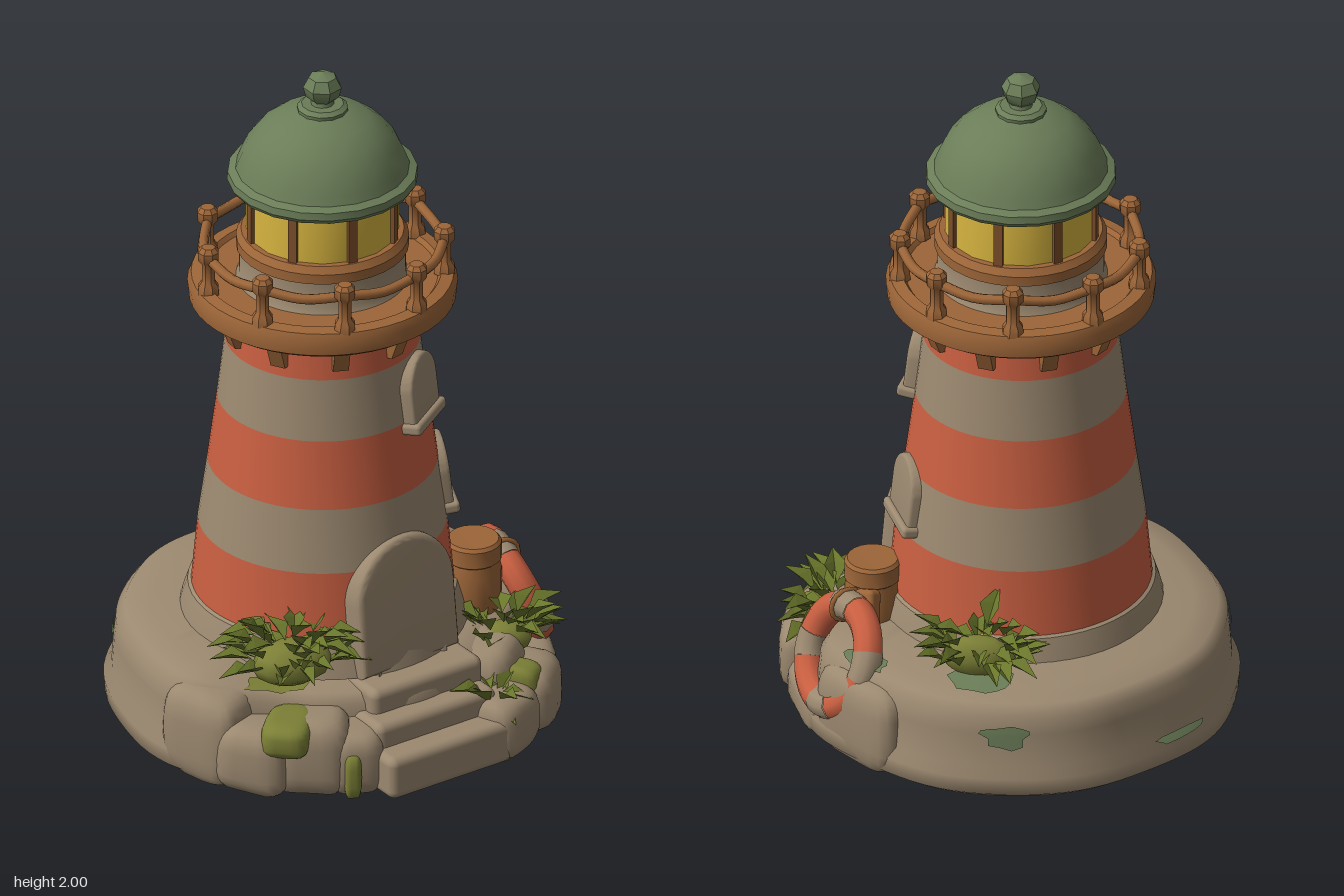
import * as THREE from 'three';
import { mergeGeometries, mergeVertices, toCreasedNormals } from 'three/addons/utils/BufferGeometryUtils.js';
import { RoundedBoxGeometry } from 'three/addons/geometries/RoundedBoxGeometry.js';

const material = (name, color, side = THREE.FrontSide) => {
  const m = new THREE.MeshStandardMaterial({ color, side });
  m.name = name;
  return m;
};
const stone = material('stone', 0x9c8970);
const red = material('coral red', 0xc95f41);
const green = material('sage green', 0x6b7d58, THREE.DoubleSide);
const wood = material('wood', 0x9c6538);
const darkWood = material('dark wood', 0x7c4e2a);
const glass = material('warm glass', 0xd9b640);
const leaf = material('leaf', 0x69762b, THREE.DoubleSide);
const moss = material('moss', 0x7c8036, THREE.DoubleSide);

let seed = 7;
const rand = (a = 0, b = 1) => {
  seed = (seed * 16807) % 2147483647;
  return a + (b - a) * (seed / 2147483647);
};

function add(parent, name, geo, mat, x = 0, y = 0, z = 0, ry = 0) {
  const mesh = new THREE.Mesh(geo, mat);
  mesh.name = name;
  mesh.position.set(x, y, z);
  mesh.rotation.y = ry;
  parent.add(mesh);
  return mesh;
}
const lathe = (pts, n = 48) =>
  toCreasedNormals(new THREE.LatheGeometry(pts.map(p => new THREE.Vector2(p[0], p[1])), n), 0.6);

function reshape(geo, rule) {
  const p = geo.attributes.position, v = new THREE.Vector3();
  for (let i = 0; i < p.count; i++) {
    rule(v.fromBufferAttribute(p, i));
    p.setXYZ(i, v.x, v.y, v.z);
  }
  geo.deleteAttribute('uv');
  geo.deleteAttribute('normal');
  const out = mergeVertices(geo, 1e-4);
  out.computeVertexNormals();
  return out;
}

// Rock base: turned profile, wavy rim, cut back at the front where boulders sit
const basePts = [[0, 0], [0.6, 0], [0.628, 0.02], [0.632, 0.07], [0.61, 0.1], [0.603, 0.2],
  [0.597, 0.25], [0.572, 0.283], [0.5, 0.293], [0.38, 0.31], [0, 0.31]];
function baseRule(v) {
  const a = Math.atan2(v.x, v.z);
  const front = THREE.MathUtils.smoothstep(Math.cos(a - 0.2), 0.2, 0.75);
  let k = 1 + 0.008 * Math.sin(5 * a + 1) + 0.006 * Math.sin(9 * a);
  k -= front * (v.y > 0.08 ? 0.2 : 0.06);
  v.x *= k;
  v.z *= k;
  v.y *= 1 - 0.12 * front;
}
// Thin patch lying on the base; a = angle, s = position along the profile
function basePatch(parent, mat, a, s, da, ds) {
  const pos = [], idx = [], n = 14, rings = 4;
  const edge = Array.from({ length: n }, () => rand(0.65, 1.1));
  for (let r = 0; r <= rings; r++) for (let i = 0; i < n; i++) {
    const f = edge[i] * r / rings, t = i / n * Math.PI * 2;
    const ang = a + da * f * Math.cos(t), q = s + ds * f * Math.sin(t);
    const k = Math.floor(q), p0 = basePts[k], p1 = basePts[k + 1];
    const rad = THREE.MathUtils.lerp(p0[0], p1[0], q - k) + 0.005;
    const v = new THREE.Vector3(rad * Math.sin(ang), THREE.MathUtils.lerp(p0[1], p1[1], q - k) + 0.004, rad * Math.cos(ang));
    baseRule(v);
    pos.push(v.x, v.y, v.z);
    if (r) {
      const j = (i + 1) % n, o = (r - 1) * n;
      idx.push(o + i, o + n + i, o + n + j, o + i, o + n + j, o + j);
    }
  }
  const g = new THREE.BufferGeometry();
  g.setAttribute('position', new THREE.Float32BufferAttribute(pos, 3));
  g.setIndex(idx);
  g.computeVertexNormals();
  add(parent, 'mossPatch', g, mat);
}
// Rounded, boxy boulder standing on the ground
function boulder(parent, x, z, hx, h, hz, mat = stone, name = 'boulder', y0 = 0) {
  const ph = rand(0, 6), box = c => Math.sign(c) * Math.abs(c) ** 0.62;
  const g = reshape(new THREE.SphereGeometry(1, 22, 16), v => {
    const k = 1 + 0.05 * Math.sin(4 * v.x + ph) * Math.cos(3 * v.z + 2 * v.y + ph);
    v.set(box(v.x) * hx * k, Math.max(0, h * 0.45 + box(v.y) * h * 0.55 * k), box(v.z) * hz * k);
  });
  add(parent, name, g, mat, x, y0, z, Math.atan2(x, z));
}

// Bush of folded pointed leaves spreading from a centre
function bush(parent, x, y, z, sx, sy, sz, count, ry = 0) {
  const parts = [];
  for (let i = 0; i < count; i++) {
    const g = new THREE.BufferGeometry(), l = rand(0.08, 0.125), w = rand(0.022, 0.034);
    g.setAttribute('position', new THREE.Float32BufferAttribute([
      0, 0, 0, -w, 0.02, l * 0.5, 0, -0.008, l * 0.6, 0, 0, 0, 0, -0.008, l * 0.6, w, 0.02, l * 0.5,
      -w, 0.02, l * 0.5, 0, -0.02, l, 0, -0.008, l * 0.6, 0, -0.008, l * 0.6, 0, -0.02, l, w, 0.02, l * 0.5], 3));
    const a = rand(0, Math.PI * 2), d = Math.sqrt(rand(0, 1)) * 0.8;
    g.rotateX(-rand(0.0, 1.1)).rotateY(a);
    g.translate(Math.sin(a) * d * sx, rand(-0.3, 0.55) * sy, Math.cos(a) * d * sz);
    parts.push(g);
  }
  const g = mergeGeometries(parts);
  g.computeVertexNormals();
  add(parent, 'bushLeaves', g, leaf, x, y, z, ry);
  const core = new THREE.SphereGeometry(1, 10, 6).scale(sx * 0.75, sy * 0.5, sz * 0.75);
  add(parent, 'bushCore', core, moss, x, y - 0.02, z, ry);
}

function arch(w, h, T = THREE.Shape) {
  const s = new T();
  s.moveTo(-w / 2, 0);
  s.lineTo(w / 2, 0);
  s.lineTo(w / 2, h - w / 2);
  s.absarc(0, h - w / 2, w / 2, 0, Math.PI, false);
  s.lineTo(-w / 2, 0);
  return s;
}
const extrude = (shape, depth, z, bevel = 0) => toCreasedNormals(new THREE.ExtrudeGeometry(shape, {
  depth, curveSegments: 14, bevelEnabled: bevel > 0, bevelSize: bevel, bevelThickness: bevel, bevelSegments: 3, bevelOffset: -bevel,
}).translate(0, 0, z), 0.7);
function archFrame(w, h, t) {
  const s = arch(w + 2 * t, h + t);
  s.holes.push(arch(w, h, THREE.Path));
  return s;
}
const towerR = y => 0.372 - 0.112 * (y - 0.3);
// Group tangent to the sloping tower wall
function onWall(tower, name, a, y) {
  const g = new THREE.Group();
  g.name = name;
  g.rotation.set(-0.11, a, 0, 'YXZ');
  g.position.set(Math.sin(a) * towerR(y), y, Math.cos(a) * towerR(y));
  tower.add(g);
  return g;
}

export function createModel() {
  const model = new THREE.Group();
  model.name = 'lighthouse';

  // Rock base, boulders and steps
  const rocks = new THREE.Group();
  rocks.name = 'rocks';
  model.add(rocks);
  add(rocks, 'rockBase', reshape(new THREE.LatheGeometry(basePts.map(p => new THREE.Vector2(...p)), 96), baseRule), stone);
  for (const b of [[-0.47, 0.27, 0.13, 0.27, 0.1], [-0.38, 0.4, 0.11, 0.2, 0.1], [-0.24, 0.46, 0.11, 0.23, 0.1],
    [-0.13, 0.5, 0.08, 0.19, 0.1], [0.33, 0.46, 0.1, 0.18, 0.1], [0.46, 0.34, 0.12, 0.19, 0.1],
    [0.36, 0.3, 0.12, 0.26, 0.1], [0.54, 0.13, 0.14, 0.13, 0.09], [0.53, -0.12, 0.16, 0.27, 0.09]]) boulder(rocks, ...b);
  [[0.09, 0.46, 0.42, 0.13, 0.32], [0.085, 0.41, 0.41, 0.2, 0.26], [0.09, 0.36, 0.38, 0.27, 0.22]].forEach(([x, z, w, h, d]) =>
    add(rocks, 'step', new RoundedBoxGeometry(w, h, d, 3, 0.025), stone, x, h / 2, z, 0.22));

  // Moss on the rocks
  for (const p of [[2.6, 5, 0.13, 0.5], [3.5, 3.6, 0.16, 0.4], [4.3, 5.2, 0.1, 0.5], [1.75, 7.4, 0.16, 0.6], [2.45, 8.2, 0.2, 0.7]])
    basePatch(rocks, green, ...p);
  for (const p of [[-0.72, 7.5, 0.22, 0.8], [-0.95, 5.6, 0.1, 0.8]]) basePatch(rocks, moss, ...p);
  for (const [x, z, hx, h, hz, y] of [[-0.31, 0.46, 0.07, 0.1, 0.1, 0.13], [-0.16, 0.56, 0.025, 0.14, 0.05, 0],
    [0.3, 0.54, 0.02, 0.14, 0.03, 0], [0.41, 0.38, 0.05, 0.1, 0.08, 0.11]]) boulder(rocks, x, z, hx, h, hz, moss, 'mossClump', y);

  // Bushes
  bush(model, -0.26, 0.36, 0.36, 0.16, 0.13, 0.11, 56);
  bush(model, 0.43, 0.24, 0.26, 0.11, 0.1, 0.08, 34);
  bush(model, 0.29, 0.37, -0.32, 0.14, 0.13, 0.06, 34, -0.6);
  bush(model, 0.31, 0.15, 0.48, 0.03, 0.06, 0.04, 9);

  // Striped tower
  const tower = new THREE.Group();
  tower.name = 'tower';
  tower.position.x = -0.017;
  model.add(tower);
  const levels = [[0.37, 0.38], [0.352, 0.58], [0.325, 0.77], [0.298, 0.975], [0.276, 1.16], [0.266, 1.3]];
  for (let i = 0; i < 5; i++)
    add(tower, i % 2 ? 'stoneStripe' : 'redStripe', lathe([levels[i], levels[i + 1]], 64), i % 2 ? stone : red);
  add(tower, 'plinth', lathe([[0.41, 0.27], [0.395, 0.33], [0.38, 0.375], [0.36, 0.385]]), stone);

  // Arched door
  const door = onWall(tower, 'door', 0.29, 0.27);
  add(door, 'doorFrame', extrude(archFrame(0.21, 0.32, 0.07), 0.07, -0.06, 0.018), stone);
  add(door, 'doorPanel', extrude(arch(0.22, 0.325), 0.03, -0.022), green);
  for (const [x, y, w] of [[-0.06, 0.21, 0.08], [-0.07, 0.09, 0.05], [0.055, 0.05, 0.06]])
    add(door, 'doorScratch', new THREE.BoxGeometry(w, 0.012, 0.006), stone, x, y, 0.009);
  const handle = add(door, 'doorHandle', new THREE.TorusGeometry(0.016, 0.006, 6, 12), darkWood, 0.06, 0.14, 0.017);
  handle.scale.y = 1.4;

  // Arched windows
  for (const [a, y] of [[0.79, 0.955], [1.37, 0.605]]) {
    const win = onWall(tower, 'window', a, y);
    add(win, 'windowFrame', extrude(archFrame(0.1, 0.16, 0.04), 0.05, -0.035, 0.01), stone);
    add(win, 'windowSill', new RoundedBoxGeometry(0.2, 0.035, 0.07, 3, 0.012), stone, 0, 0.003, 0.005);
    add(win, 'windowPane', extrude(arch(0.104, 0.163), 0.02, -0.012), glass);
    add(win, 'windowBar', new THREE.BoxGeometry(0.013, 0.15, 0.009), darkWood, 0, 0.08, 0.012);
    add(win, 'windowBar', new THREE.BoxGeometry(0.1, 0.013, 0.009), darkWood, 0, 0.085, 0.012);
    add(win, 'windowTrim', extrude(archFrame(0.084, 0.15, 0.009), 0.008, 0.008), darkWood);
  }

  // Balcony with brackets and railing
  add(tower, 'balconyFloor', lathe([[0.25, 1.285], [0.355, 1.28], [0.377, 1.295], [0.381, 1.335], [0.37, 1.36],
    [0.335, 1.365], [0.325, 1.352], [0.2, 1.352]]), wood);
  const bracket = new THREE.Shape([[0.24, 1.19], [0.29, 1.195], [0.325, 1.285], [0.24, 1.285]].map(p => new THREE.Vector2(...p)));
  for (let i = 0; i < 10; i++)
    add(tower, 'bracket', extrude(bracket, 0.045, -0.0225), wood, 0, 0, 0, i * Math.PI / 5 + 0.1);
  const postGeo = lathe([[0.032, 0], [0.03, 0.025], [0.02, 0.04], [0.02, 0.095], [0.031, 0.11], [0.031, 0.135], [0.02, 0.148], [0, 0.15]], 8);
  for (let i = 0; i < 9; i++) {
    const a = (188 + i * 40) * Math.PI / 180;
    add(tower, 'railPost', postGeo, wood, Math.sin(a) * 0.343, 1.355, Math.cos(a) * 0.343);
    const p = (t, r, y) => new THREE.Vector3(Math.sin(a + t * 0.698) * r, y, Math.cos(a + t * 0.698) * r);
    const curve = new THREE.CatmullRomCurve3([p(0, 0.343, 1.465), p(0.5, 0.335, 1.452), p(1, 0.343, 1.465)]);
    add(tower, 'handRail', new THREE.TubeGeometry(curve, 8, 0.015, 7), wood);
  }

  // Lantern room
  add(tower, 'lanternBase', lathe([[0.245, 1.35], [0.235, 1.37], [0.235, 1.45]]), stone);
  add(tower, 'lanternSill', lathe([[0.23, 1.445], [0.244, 1.45], [0.244, 1.48], [0.23, 1.5], [0.19, 1.5]], 32), wood);
  add(tower, 'lanternGlass', toCreasedNormals(new THREE.CylinderGeometry(0.215, 0.215, 0.18, 16), 0.6), glass, 0, 1.58);
  for (let i = 0; i < 8; i++) {
    const a = i * Math.PI / 4;
    add(tower, 'lanternBar', new THREE.BoxGeometry(0.026, 0.18, 0.03), darkWood, Math.sin(a) * 0.209, 1.58, Math.cos(a) * 0.209, a);
  }
  add(tower, 'lanternTopRing', lathe([[0.2, 1.64], [0.226, 1.64], [0.226, 1.67]], 32), darkWood);

  // Domed roof and finial
  add(tower, 'roof', lathe([[0, 1.67], [0.22, 1.66], [0.262, 1.655], [0.27, 1.668], [0.268, 1.69], [0.246, 1.7], [0.237, 1.725],
    [0.215, 1.775], [0.18, 1.82], [0.135, 1.855], [0.07, 1.88], [0, 1.885]], 20), green);
  add(tower, 'finialCollar', lathe([[0.07, 1.865], [0.073, 1.89], [0.06, 1.9], [0.033, 1.9], [0.03, 1.92]], 12), green);
  add(tower, 'finialBall', lathe([[0.025, 1.905], [0.048, 1.925], [0.056, 1.955], [0.04, 1.985], [0, 2]], 7), green);

  // Barrel
  add(model, 'barrel', lathe([[0.07, 0], [0.08, 0.09], [0.08, 0.17], [0.074, 0.2], [0.08, 0.205], [0.08, 0.255], [0.072, 0.265], [0, 0.262]], 20),
    wood, 0.395, 0.21, 0.115);

  // Lifebuoy leaning on the rocks
  const buoy = new THREE.Group();
  buoy.name = 'lifebuoy';
  buoy.position.set(0.555, 0.25, 0.02);
  buoy.rotation.set(-0.4, Math.PI / 2, 0, 'YXZ');
  model.add(buoy);
  for (let i = 0; i < 4; i++) {
    const start = i * Math.PI / 2 + 0.5;
    add(buoy, 'buoyRed', new THREE.TorusGeometry(0.143, 0.043, 10, 10, 1.02), red).rotation.z = start;
    add(buoy, 'buoyBand', new THREE.TorusGeometry(0.143, 0.045, 10, 6, Math.PI / 2 - 1.02), stone).rotation.z = start + 1.02;
  }
  const strap = add(buoy, 'ropeStrap', new THREE.TorusGeometry(0.048, 0.008, 6, 14), wood, -0.05, 0.134, 0);
  strap.rotation.set(0, Math.PI / 2, 0);
  const plank = add(model, 'driftwood', new RoundedBoxGeometry(0.05, 0.2, 0.07, 2, 0.015), wood, 0.47, 0.33, 0.01);
  plank.rotation.set(0.3, 0.4, 0.25);

  return model;
}
